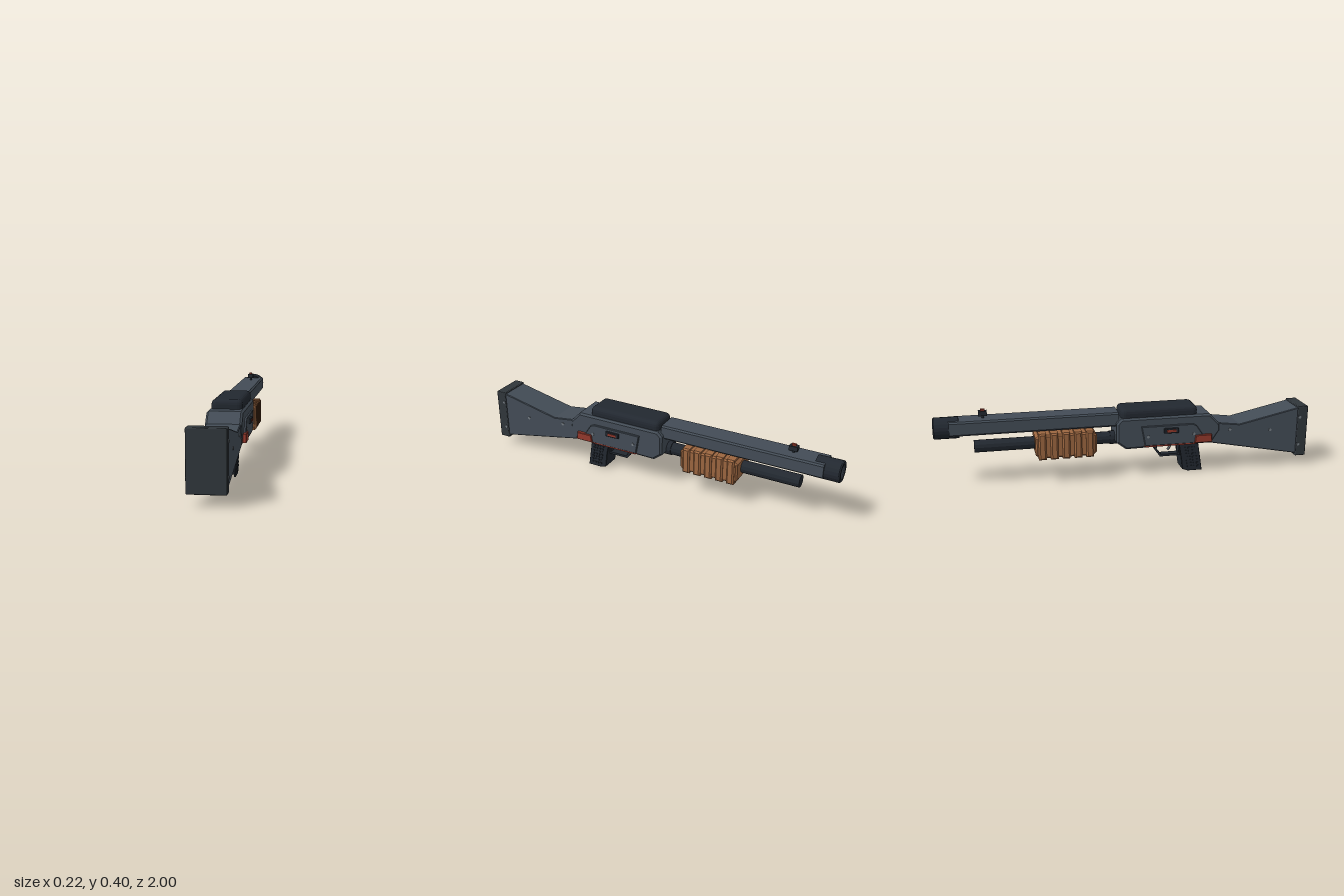
import * as THREE from 'three';
import { RoundedBoxGeometry } from 'three/addons/geometries/RoundedBoxGeometry.js';

const mat = (color) => new THREE.MeshStandardMaterial({ color, flatShading: true });
const M = {
  body: mat(0x434c56), dark: mat(0x222830), butt: mat(0x30363b),
  wood: mat(0x9c6640), red: mat(0x94392c), steel: mat(0x737b82),
};

export function createModel() {
  const root = new THREE.Group();

  const add = (name, geo, m, x = 0, y = 0, z = 0) => {
    const mesh = new THREE.Mesh(geo, m);
    mesh.name = name;
    mesh.position.set(x, y, z);
    root.add(mesh);
    return mesh;
  };
  const box = (name, m, w, h, d, x, y, z) =>
    add(name, new THREE.BoxGeometry(w, h, d), m, x, y, z);
  const rounded = (name, m, w, h, d, r, x, y, z) =>
    add(name, new RoundedBoxGeometry(w, h, d, 2, r), m, x, y, z);
  const toShape = (pts) => new THREE.Shape(pts.map(([a, b]) => new THREE.Vector2(a, b)));

  // Side profile of [z, y] points, extruded across x to the given total width
  const slab = (name, m, pts, width, bevel = 0, x = 0, hole = null) => {
    const shape = toShape(pts);
    if (hole) shape.holes.push(toShape(hole));
    const depth = width - 2 * bevel;
    const geo = new THREE.ExtrudeGeometry(shape, {
      depth, bevelEnabled: bevel > 0, bevelSize: bevel, bevelThickness: bevel,
      bevelOffset: -bevel, bevelSegments: 1,
    });
    geo.translate(0, 0, -depth / 2).rotateY(-Math.PI / 2);
    return add(name, geo, m, x);
  };

  // Cylinder along z
  const rod = (name, m, r, z0, z1, y, sides) => {
    const geo = new THREE.CylinderGeometry(r, r, Math.abs(z1 - z0), sides);
    return add(name, geo.rotateX(Math.PI / 2), m, 0, y, (z0 + z1) / 2);
  };

  // Stock and butt plate
  slab('stock', M.body, [[0.95, 0.07], [0.95, 0.335], [0.61, 0.261], [0.48, 0.278],
    [0.42, 0.278], [0.42, 0.17], [0.46, 0.165]], 0.168, 0.004);
  rounded('buttPlate', M.butt, 0.177, 0.284, 0.06, 0.006, 0, 0.199, 0.97);

  // Receiver
  slab('receiver', M.body, [[0.497, 0.272], [0.44, 0.331], [-0.04, 0.331], [-0.065, 0.305],
    [-0.065, 0.2], [-0.015, 0.162], [0.455, 0.168], [0.5, 0.235]], 0.177, 0.01);
  rounded('topPad', M.dark, 0.154, 0.07, 0.415, 0.025, 0, 0.343, 0.168);

  // Barrel with chamfered edges
  const barrelShape = toShape([[-0.05, 0.283], [0.05, 0.283], [0.062, 0.293], [0.062, 0.352],
    [0.054, 0.36], [-0.054, 0.36], [-0.062, 0.352], [-0.062, 0.293]]);
  add('barrel', new THREE.ExtrudeGeometry(barrelShape, { depth: 0.87, bevelEnabled: false }),
    M.body, 0, 0, -0.92);

  // Hollow muzzle ring
  const ring = [[0.03, 0], [0.056, 0], [0.056, 0.124], [0.052, 0.13], [0.038, 0.13], [0.034, 0.124], [0.03, 0]];
  const muzzle = new THREE.LatheGeometry(ring.map(([r, h]) => new THREE.Vector2(r, h)), 20);
  add('muzzle', muzzle.rotateX(-Math.PI / 2), M.dark, 0, 0.317, -0.87);

  // Magazine tube
  rod('magazineTube', M.dark, 0.033, 0, -0.8, 0.208, 12);
  rod('magazineCollar', M.dark, 0.037, -0.04, -0.09, 0.208, 12);

  // Ribbed foregrip
  slab('foregrip', M.wood, [[-0.17, 0.16], [-0.17, 0.252], [-0.19, 0.268], [-0.47, 0.268],
    [-0.49, 0.252], [-0.49, 0.16], [-0.47, 0.142], [-0.19, 0.142]], 0.162, 0.008);
  for (let i = 0; i < 5; i++) {
    const z = -0.207 - i * 0.062;
    slab('foregripRib', M.wood, [[z + 0.02, 0.135], [z + 0.02, 0.277],
      [z - 0.02, 0.277], [z - 0.02, 0.135]], 0.18, 0.008);
  }

  // Front sight
  box('sightStem', M.dark, 0.012, 0.02, 0.012, 0, 0.365, -0.748);
  box('frontSight', M.dark, 0.03, 0.024, 0.044, 0, 0.384, -0.748);
  box('sightBead', M.red, 0.012, 0.012, 0.022, 0, 0.4, -0.748);

  // Pistol grip core with side cheeks
  slab('gripCore', M.dark, [[0.385, 0.18], [0.285, 0.18], [0.305, 0.014], [0.405, 0.014]], 0.09);
  for (const s of [1, -1]) {
    slab('gripCheek', M.dark, [[0.388, 0.175], [0.28, 0.17], [0.295, 0.09], [0.305, 0.014],
      [0.335, 0.003], [0.415, 0.003]], 0.009, 0.002, s * 0.0465);
    for (let r = 0; r < 7; r++) {
      for (let c = 0; c < 4; c++) {
        box('gripStud', M.dark, 0.006, 0.009, 0.009,
          s * 0.052, 0.028 + r * 0.018, 0.39 - r * 0.003 - c * 0.018);
      }
    }
  }

  // Trigger guard and trigger
  slab('triggerGuard', M.dark, [[0.3, 0.085], [0.185, 0.085], [0.153, 0.13], [0.163, 0.175], [0.3, 0.175]],
    0.04, 0, 0, [[0.288, 0.097], [0.288, 0.165], [0.174, 0.165], [0.166, 0.132], [0.192, 0.097]]);
  const triggerPath = new THREE.QuadraticBezierCurve3(new THREE.Vector3(0, 0.17, 0.255),
    new THREE.Vector3(0, 0.145, 0.255), new THREE.Vector3(0, 0.115, 0.232));
  add('trigger', new THREE.TubeGeometry(triggerPath, 8, 0.007, 6), M.steel);

  // Fittings mirrored on both sides
  for (const s of [1, -1]) {
    slab('sidePanel', M.body, [[0.43, 0.178], [0.365, 0.275], [0.345, 0.285], [0.065, 0.285],
      [0.085, 0.178]], 0.016, 0.003, s * 0.091);
    slab('panelStripe', M.red, [[0.36, 0.169], [0.36, 0.178], [0.08, 0.178], [0.09, 0.169]],
      0.01, 0, s * 0.088);
    slab('rearBadge', M.red, [[0.452, 0.179], [0.448, 0.222], [0.36, 0.222], [0.354, 0.179]],
      0.02, 0.003, s * 0.097);
    rounded('ejectorFrame', M.dark, 0.018, 0.028, 0.08, 0.004, s * 0.1, 0.257, 0.225);
    box('ejectorInsert', M.red, 0.008, 0.012, 0.05, s * 0.108, 0.257, 0.225);

    // Screws as [x, y, z]
    const screws = [[0.098, 0.23, 0.35], [0.098, 0.23, 0.1], [0.083, 0.218, 0.785],
      [0.083, 0.236, 0.555], [0.087, 0.28, 0.953], [0.087, 0.125, 0.953]];
    for (const [x, y, z] of screws) {
      const geo = new THREE.CylinderGeometry(0.008, 0.008, 0.01, 10).rotateZ(Math.PI / 2);
      add('screw', geo, M.steel, s * x, y, z);
    }
  }
  return root;
}
